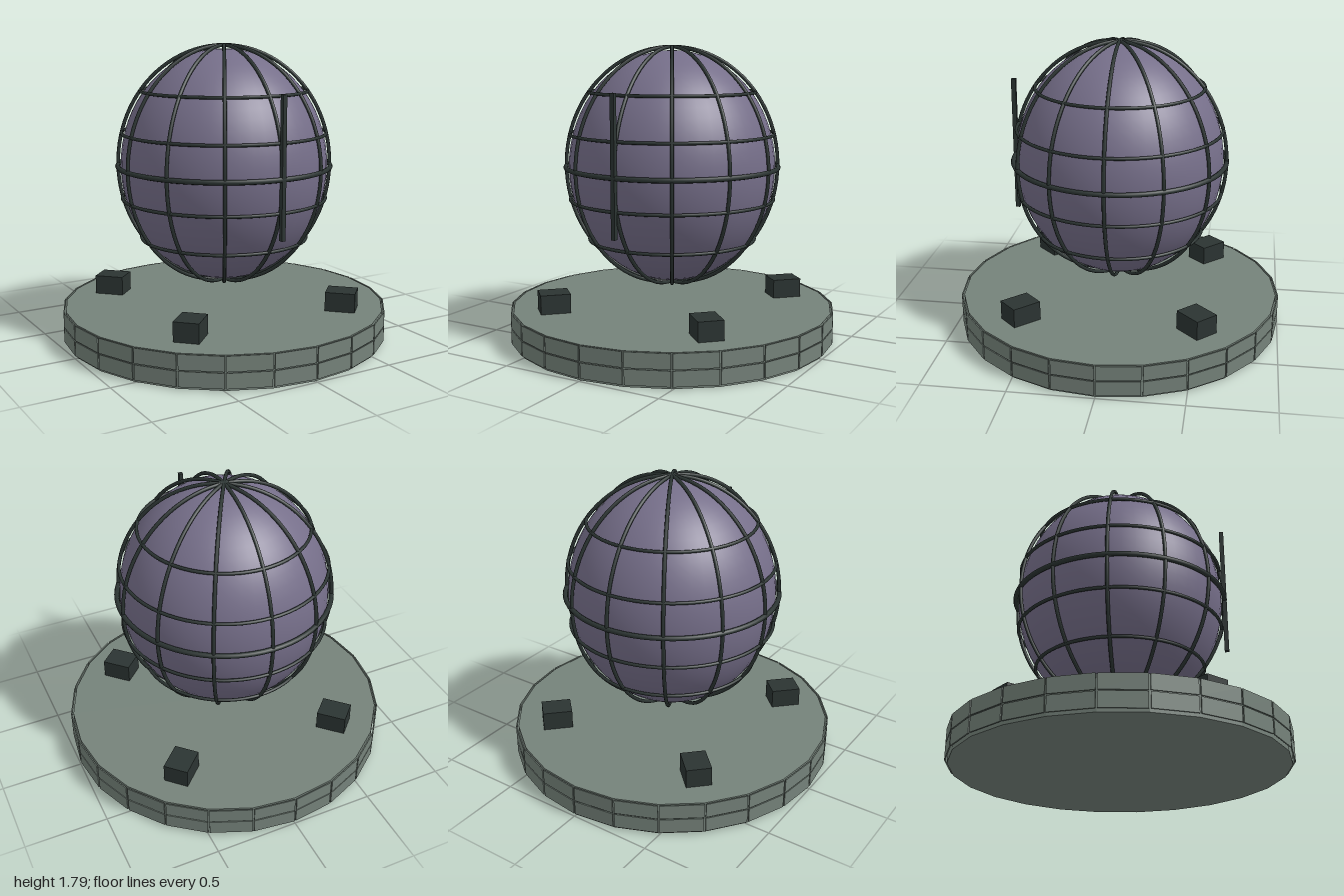
import * as THREE from 'three';

export function createModel() {
  const model = new THREE.Group();
  model.name = 'cagedOrb';

  const stone = new THREE.MeshStandardMaterial({ color: 0x75827a });
  stone.name = 'grey green';
  const violet = new THREE.MeshStandardMaterial({ color: 0x766f8a });
  violet.name = 'dusty violet';
  const iron = new THREE.MeshStandardMaterial({ color: 0x2b3432 });
  iron.name = 'dark iron';

  const add = (name, geometry, material, parent = model) => {
    const mesh = new THREE.Mesh(geometry, material);
    mesh.name = name;
    parent.add(mesh);
    return mesh;
  };
  const group = (name) => {
    const g = new THREE.Group();
    g.name = name;
    model.add(g);
    return g;
  };

  // 24-sided plinth, flat faced
  const SIDES = 24;
  const plinth = new THREE.CylinderGeometry(0.982, 0.982, 0.2, SIDES).toNonIndexed();
  plinth.computeVertexNormals();
  add('base', plinth, stone).position.y = 0.1;

  // Two rows of thin cladding panels standing just off the plinth
  const panels = group('basePanels');
  const apothem = 0.995 * Math.cos(Math.PI / SIDES);
  const panelWidth = 2 * 0.995 * Math.sin(Math.PI / SIDES) - 0.01;
  const panelGeo = new THREE.BoxGeometry(panelWidth, 0.088, 0.007);
  for (let i = 0; i < SIDES; i++) {
    const a = ((i + 0.5) / SIDES) * Math.PI * 2;
    for (const y of [0.06, 0.155]) {
      const p = add('basePanel', panelGeo, stone, panels);
      p.position.set(Math.sin(a) * apothem, y, Math.cos(a) * apothem);
      p.rotation.y = a;
    }
  }

  // Four diagonal blocks
  const blocks = group('blocks');
  for (let i = 0; i < 4; i++) {
    const a = Math.PI / 4 + (i * Math.PI) / 2;
    const b = add('block', new THREE.BoxGeometry(0.15, 0.12, 0.18), iron, blocks);
    b.position.set(Math.sin(a) * 0.737, 0.256, Math.cos(a) * 0.737);
    b.rotation.y = a;
  }

  // Egg-shaped core
  const CY = 1.06, RX = 0.645, RY = 0.72;
  const core = new THREE.SphereGeometry(1, 48, 32);
  core.scale(0.627, 0.7, 0.627);
  add('orb', core, violet).position.y = CY;

  // Meridian hoops: six full ellipses give twelve ribs
  const cage = group('cage');
  const points = [];
  for (let i = 0; i < 48; i++) {
    const a = (i / 48) * Math.PI * 2;
    points.push(new THREE.Vector3(Math.cos(a) * RX, Math.sin(a) * RY, 0));
  }
  const hoop = new THREE.TubeGeometry(new THREE.CatmullRomCurve3(points, true), 96, 0.011, 8, true);
  for (let i = 0; i < 6; i++) {
    const m = add('meridian', hoop, iron, cage);
    m.position.y = CY;
    m.rotation.y = (i * Math.PI) / 6;
  }

  // Latitude rings, the equator thicker
  for (const dy of [-0.445, -0.197, 0, 0.2, 0.45]) {
    const r = RX * Math.sqrt(1 - (dy / RY) ** 2);
    const ring = add(dy ? 'latitudeRing' : 'equatorRing',
      new THREE.TorusGeometry(r, dy ? 0.01 : 0.015, 8, 72), iron, cage);
    ring.position.y = CY + dy;
    ring.rotation.x = Math.PI / 2;
  }

  // Upright bar at the front
  add('frontBar', new THREE.BoxGeometry(0.025, 0.82, 0.027), iron).position.set(0, 1.122, 0.645);

  return model;
}
